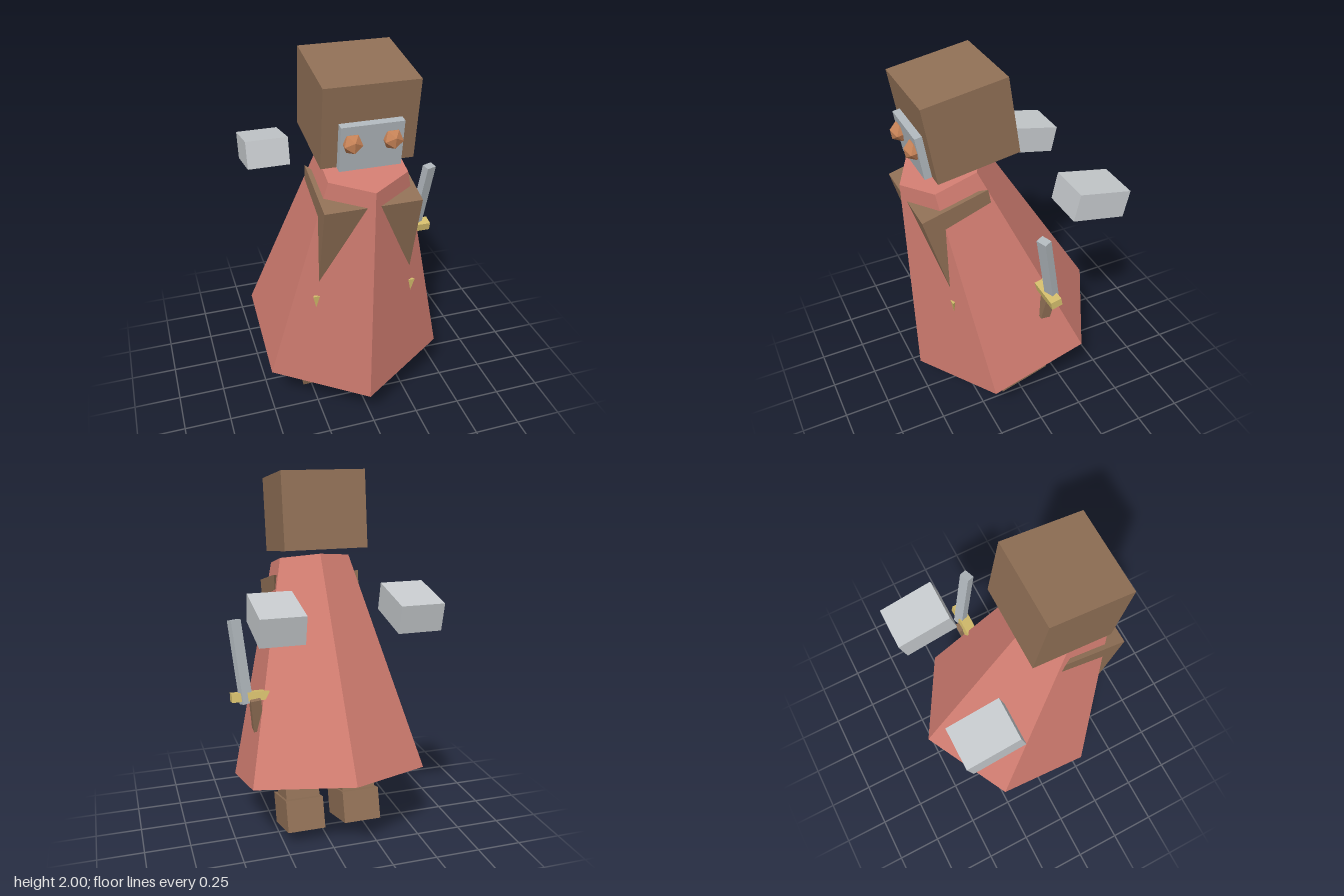
import * as THREE from 'three';

const mat = (name, color, side = THREE.FrontSide) => {
  const m = new THREE.MeshStandardMaterial({ color, flatShading: true, side });
  m.name = name;
  return m;
};

export function createModel() {
  const root = new THREE.Group();
  root.name = 'robedFigure';
  const brown = mat('brown', 0x8f6f55);
  const red = mat('robeRed', 0xd07c70);
  const paleGrey = mat('paleGrey', 0xc6cacd);
  const steel = mat('steelGrey', 0xb0b7bc);
  const gold = mat('gold', 0xd4bd6c);
  const copper = mat('copper', 0xc48156);
  const CX = -0.03; // centre line of the body

  const add = (name, geo, material, pos, rotX = 0, parent = root) => {
    const m = new THREE.Mesh(geo, material);
    m.name = name;
    m.position.set(...pos);
    m.rotation.x = rotX;
    parent.add(m);
    return m;
  };
  const box = (name, size, material, pos, rotX, parent) =>
    add(name, new THREE.BoxGeometry(...size), material, pos, rotX, parent);
  // square bar running from a to b, spun about its own length
  const bar = (name, a, b, w, d, spin, material, parent) => {
    const p = new THREE.Vector3(...a), q = new THREE.Vector3(...b);
    const dir = q.clone().sub(p);
    const geo = new THREE.BoxGeometry(w, dir.length(), d).rotateY(spin);
    const m = add(name, geo, material, p.clone().add(q).multiplyScalar(0.5).toArray(), 0, parent);
    m.quaternion.setFromUnitVectors(new THREE.Vector3(0, 1, 0), dir.normalize());
  };

  // head with face plate and eyes
  const head = new THREE.Group();
  head.name = 'head';
  head.position.set(-0.033, 1.77, 0.243);
  head.rotation.x = 0.154;
  root.add(head);
  box('skull', [0.447, 0.4, 0.425], brown, [0, 0, 0], 0, head);
  box('facePlate', [0.295, 0.226, 0.04], steel, [0, -0.089, 0.23], 0, head);
  for (const s of [-1, 1])
    add('eye', new THREE.IcosahedronGeometry(0.05, 0), copper, [s * 0.094, -0.059, 0.254], 0, head);

  // six-sided robe leaning forward
  add('robe', new THREE.CylinderGeometry(0.224, 0.548, 1.195, 6), red, [CX, 0.929, 0.159], 0.28);

  // wedge-shaped lapels with a short band over the shoulder
  for (const s of [-1, 1]) {
    const A = [0.238, 1.36, 0.52], B = [0.028, 1.36, 0.52], C = [0.238, 1.452, 0.18];
    const D = [0.238, 0.92, 0.4], E = [0.238, 1.375, 0.165], F = [0.238, 1.29, 0.405];
    const faces = [[A, D, B], [A, B, C], [F, D, A], [F, A, C], [F, C, E], [B, D, F], [B, F, E], [B, E, C]];
    const verts = faces.flatMap(f => (s < 0 ? f : [...f].reverse()))
      .flatMap(([x, y, z]) => [s * x, y, z]);
    const geo = new THREE.BufferGeometry();
    geo.setAttribute('position', new THREE.Float32BufferAttribute(verts, 3));
    geo.computeVertexNormals();
    add('lapel', geo, brown, [CX, 0, 0]);

    // small gold clasp tip poking through the robe
    const tip = new THREE.ConeGeometry(0.02, 0.07, 3).rotateX(Math.PI);
    add('clasp', tip, gold, [CX + s * 0.253, 0.797, 0.391]);
  }

  // legs
  for (const [x, y] of [[-0.195, 0.138], [0.13, 0.13]]) {
    const leg = new THREE.Group();
    leg.name = 'leg';
    leg.position.set(x, y, -0.004);
    leg.rotation.x = 0.29;
    root.add(leg);
    box('foot', [0.21, 0.175, 0.3], brown, [0, 0, 0], 0, leg);
    box('shin', [0.19, 0.24, 0.215], brown, [-0.002, 0.19, -0.005], 0, leg);
  }

  // floating hands behind the shoulders
  box('rightHand', [0.225, 0.147, 0.29], paleGrey, [-0.378, 1.35, -0.303], -0.205);
  box('leftHand', [0.223, 0.147, 0.29], paleGrey, [0.32, 1.343, -0.326], -0.205);

  // short sword
  const sword = new THREE.Group();
  sword.name = 'sword';
  root.add(sword);
  bar('blade', [0.427, 0.835, -0.075], [0.463, 1.265, 0.01], 0.058, 0.042, 0.35, steel, sword);
  box('guard', [0.2, 0.046, 0.06], gold, [0.404, 0.867, -0.057], 0.2, sword);
  bar('grip', [0.366, 0.678, -0.06], [0.384, 0.86, -0.088], 0.055, 0.055, 0, brown, sword);

  return root;
}
